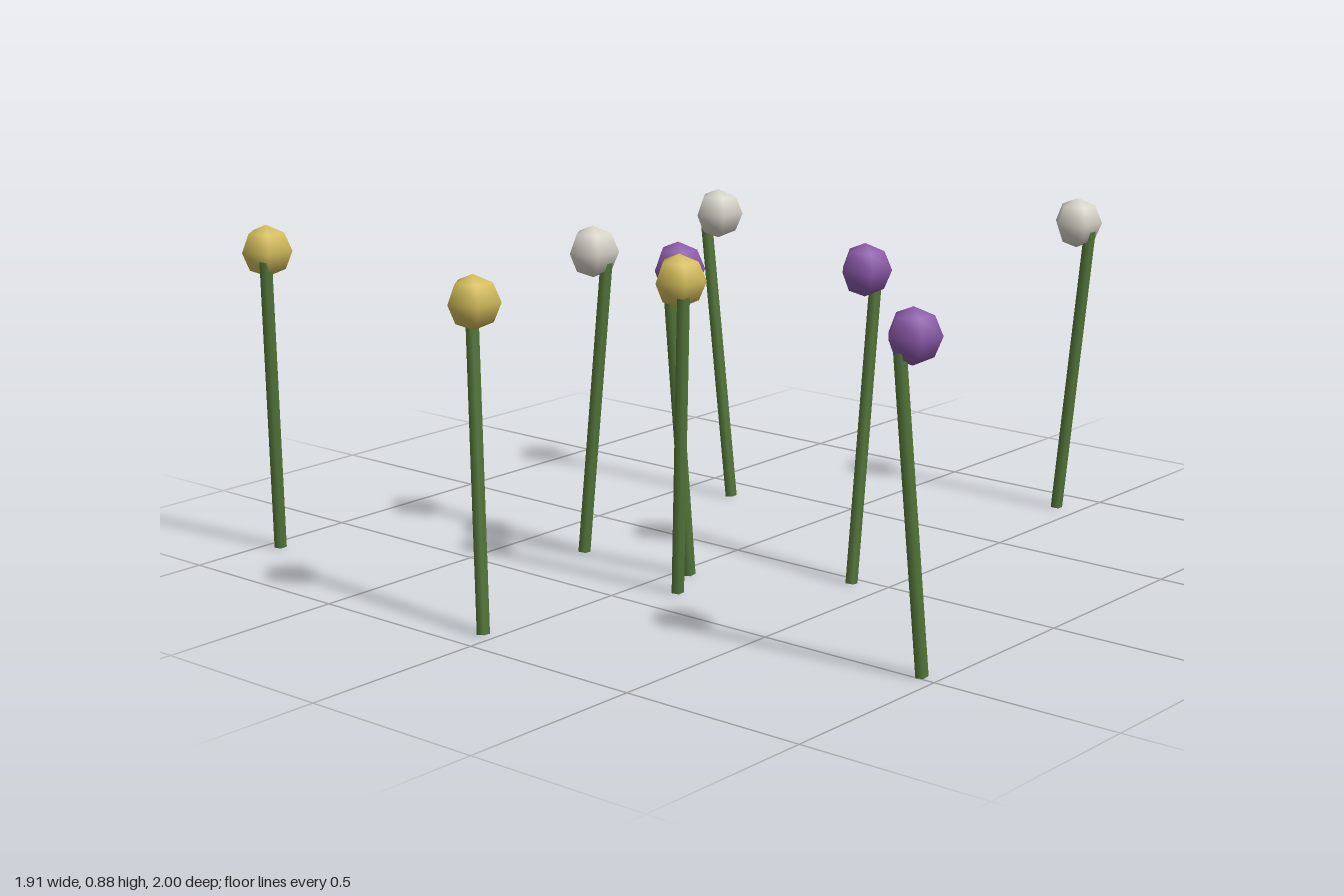
import * as THREE from 'three';

const material = (name, color) => {
  const m = new THREE.MeshStandardMaterial({ color });
  m.name = name;
  return m;
};

export function createModel() {
  const group = new THREE.Group();
  group.name = 'flowerPatch';

  const green = material('stemGreen', 0x55793b);
  const yellow = material('petalYellow', 0xd6bf5c);
  const purple = material('petalPurple', 0x8c5aaa);
  const white = material('petalWhite', 0xd9d6cb);

  // Shared low-poly parts: five-sided stem and five-sided round bloom
  const stemLength = 0.795;
  const stemGeometry = new THREE.CylinderGeometry(0.017, 0.017, stemLength, 5);
  stemGeometry.rotateY(Math.PI);
  const bloomGeometry = new THREE.SphereGeometry(0.068, 5, 4, -Math.PI / 2);

  // x, z, lean of the stem in x and z, bloom colour
  const flowers = [
    [-0.895, -0.07, 0.052, -0.066, yellow],
    [-0.785, -0.932, -0.056, 0.054, yellow],
    [-0.525, 0.943, -0.074, -0.024, purple],
    [-0.397, 0.143, -0.044, 0.062, yellow],
    [-0.281, 0.039, -0.074, 0, purple],
    [-0.255, -0.274, 0.03, 0.065, white],
    [0.002, 0.411, 0.076, 0.01, purple],
    [0.376, -0.381, -0.018, -0.075, white],
    [0.888, 0.467, 0.012, 0.074, white],
  ];

  const up = new THREE.Vector3(0, 1, 0);
  for (const [x, z, leanX, leanZ, color] of flowers) {
    const flower = new THREE.Group();
    flower.name = 'flower';
    flower.position.set(x, 0, z);

    // Stem leans about its own middle
    const stem = new THREE.Mesh(stemGeometry, green);
    stem.name = 'stem';
    stem.position.y = 0.4;
    const direction = new THREE.Vector3(leanX, stemLength, leanZ).normalize();
    stem.quaternion.setFromUnitVectors(up, direction);

    const bloom = new THREE.Mesh(bloomGeometry, color);
    bloom.name = 'bloom';
    bloom.position.y = 0.816;

    flower.add(stem, bloom);
    group.add(flower);
  }
  return group;
}
